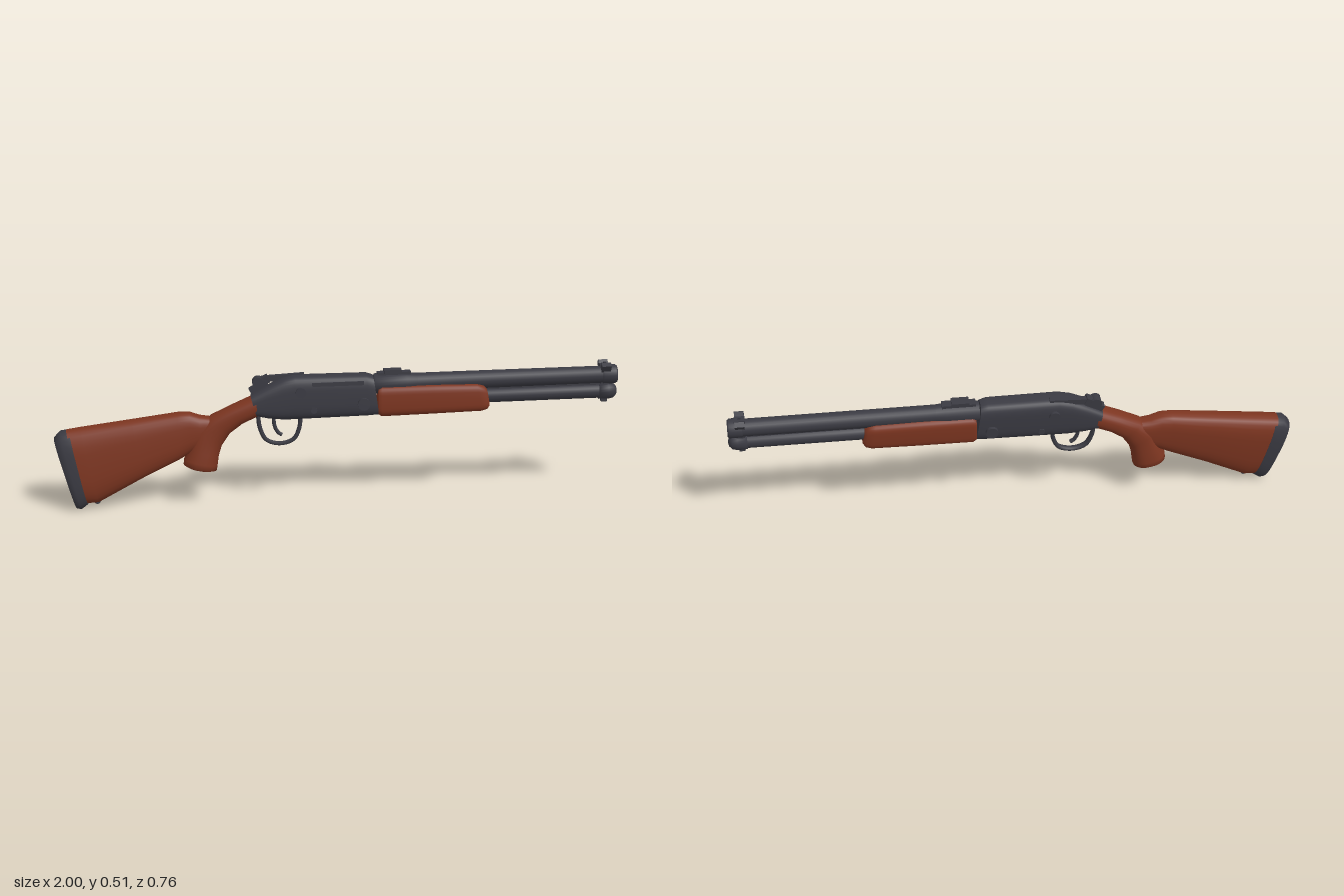
import * as THREE from 'three';

const S = 1.054; // stretches lengthwise positions before the whole piece is turned
const steel = new THREE.MeshStandardMaterial({ color: 0x3a3a42 });
steel.name = 'dark steel';
const wood = new THREE.MeshStandardMaterial({ color: 0x7c3520 });
wood.name = 'red brown wood';

function add(parent, name, geo, mat) {
  const m = new THREE.Mesh(geo, mat);
  m.name = name;
  parent.add(m);
  return m;
}

// Skin over cross-sections [topX, topY, bottomX, bottomY, halfWidth, bottomShift], with flat end caps
function loft(sections, e = 0.7, n = 28) {
  const pos = [], idx = [];
  const pw = v => Math.sign(v) * Math.pow(Math.abs(v), e);
  const ring = ([tx, ty, bx, by, w, shift = 0]) => {
    for (let j = 0; j < n; j++) {
      const a = (j / n) * Math.PI * 2, s = pw(Math.sin(a)), c = pw(Math.cos(a));
      pos.push(((tx + bx) / 2 + s * (tx - bx) / 2) * S, (ty + by) / 2 + s * (ty - by) / 2,
        c * w + shift * (1 - s) / 2);
    }
  };
  sections.forEach(ring);
  for (let i = 0; i < sections.length - 1; i++) {
    for (let j = 0; j < n; j++) {
      const a = i * n + j, b = i * n + (j + 1) % n;
      idx.push(a, a + n, b, b, a + n, b + n);
    }
  }
  [sections[0], sections[sections.length - 1]].forEach((s, end) => {
    const base = pos.length / 3;
    ring(s);
    pos.push((s[0] + s[2]) / 2 * S, (s[1] + s[3]) / 2, (s[5] || 0) / 2);
    for (let j = 0; j < n; j++) {
      const a = base + j, b = base + (j + 1) % n;
      idx.push(base + n, end ? b : a, end ? a : b);
    }
  });
  const g = new THREE.BufferGeometry();
  g.setAttribute('position', new THREE.Float32BufferAttribute(pos, 3));
  g.setIndex(idx);
  g.computeVertexNormals();
  return g;
}

const PITCH = 0.018; // slight rise of the barrels

// Lathe lying lengthwise; profile points are [radius, distance from x0]
function turned(parent, name, profile, x0, y0) {
  const g = new THREE.LatheGeometry(profile.map(p => new THREE.Vector2(p[0], p[1])), 24);
  g.rotateZ(-Math.PI / 2);
  const m = add(parent, name, g, steel);
  m.position.set(x0 * S, y0, 0);
  m.rotation.z = PITCH;
  return m;
}

function box(parent, name, x, y, z, lx, ly, lz, tilt = PITCH) {
  const m = add(parent, name, new THREE.BoxGeometry(lx, ly, lz), steel);
  m.position.set(x * S, y, z);
  m.rotation.z = tilt;
  return m;
}

function crossPin(parent, name, x, y, z, r, len) {
  const g = new THREE.CylinderGeometry(r, r, len, 16);
  g.rotateX(Math.PI / 2);
  const m = add(parent, name, g, steel);
  m.position.set(x * S, y, z);
  return m;
}

function tube(parent, name, pts, r, widen) {
  const curve = new THREE.CatmullRomCurve3(pts.map(p => new THREE.Vector3(p[0] * S, p[1], 0)));
  const g = new THREE.TubeGeometry(curve, 32, r, 8);
  g.scale(1, 1, widen);
  return add(parent, name, g, steel);
}

export function createModel() {
  const model = new THREE.Group();
  model.name = 'longGun';
  // Turned to the side and leaning slightly backwards
  const turn = new THREE.Group();
  turn.name = 'turnedBody';
  turn.rotation.y = 0.317;
  model.add(turn);
  const gun = new THREE.Group();
  gun.name = 'gunBody';
  gun.rotation.x = -0.075;
  gun.position.z = 0.021;
  turn.add(gun);

  // Shoulder stock, widening towards the butt
  add(gun, 'shoulderStock', loft([
    [-0.95, 0.299, -0.89, 0.022, 0.054, 0.014],
    [-0.90, 0.307, -0.845, 0.025, 0.055, 0.014],
    [-0.72, 0.332, -0.69, 0.112, 0.052, 0.01],
    [-0.56, 0.355, -0.56, 0.178, 0.047, 0.005],
    [-0.52, 0.355, -0.515, 0.205, 0.044],
    [-0.485, 0.342, -0.48, 0.22, 0.04],
    [-0.44, 0.335, -0.43, 0.25, 0.035],
  ]), wood);
  add(gun, 'buttPad', loft([
    [-0.986, 0.25, -0.925, 0.012, 0.042, 0.014],
    [-0.994, 0.272, -0.922, 0.002, 0.051, 0.014],
    [-0.972, 0.295, -0.905, 0.0, 0.055, 0.014],
    [-0.94, 0.3, -0.883, 0.018, 0.055, 0.014],
  ]), steel);
  crossPin(gun, 'slingStud', -0.85, 0.03, 0.012, 0.012, 0.026);

  // Pistol grip sweeping up into the receiver
  add(gun, 'pistolGrip', loft([
    [-0.53, 0.148, -0.445, 0.13, 0.045],
    [-0.545, 0.158, -0.428, 0.133, 0.055],
    [-0.542, 0.18, -0.425, 0.152, 0.056],
    [-0.522, 0.22, -0.42, 0.188, 0.051],
    [-0.50, 0.295, -0.408, 0.228, 0.046],
    [-0.445, 0.342, -0.38, 0.272, 0.044],
    [-0.375, 0.377, -0.335, 0.308, 0.046],
    [-0.29, 0.417, -0.28, 0.335, 0.047],
  ], 0.85), wood);

  // Receiver
  add(gun, 'receiver', loft([
    [-0.305, 0.415, -0.285, 0.338, 0.046],
    [-0.25, 0.447, -0.24, 0.327, 0.047],
    [-0.195, 0.474, -0.19, 0.322, 0.048],
    [-0.15, 0.486, -0.15, 0.322, 0.048],
    [0.10, 0.488, 0.11, 0.33, 0.048],
    [0.125, 0.48, 0.145, 0.333, 0.046],
  ], 0.58, 36), steel);
  box(gun, 'boltCover', 0.0, 0.448, 0.022, 0.19, 0.036, 0.048);
  box(gun, 'topLever', -0.19, 0.474, -0.022, 0.16, 0.022, 0.02, 0.06);
  for (const side of [-1, 1]) {
    crossPin(gun, 'rearPin', -0.13, 0.43, side * 0.045, 0.02, 0.026);
    crossPin(gun, 'frontPin', 0.09, 0.382, side * 0.046, 0.023, 0.028);
    crossPin(gun, 'lowerPin', -0.085, 0.362, side * 0.045, 0.012, 0.014);
  }

  // Rear sight on the tang
  box(gun, 'rearSightBase', -0.275, 0.44, -0.012, 0.07, 0.03, 0.03, 0.5);
  crossPin(gun, 'rearSightKnob', -0.278, 0.459, -0.016, 0.021, 0.04);
  box(gun, 'rearSightLeaf', -0.252, 0.468, -0.018, 0.025, 0.028, 0.034, 0.4);

  // Trigger and guard
  tube(gun, 'triggerGuard', [[-0.28, 0.345], [-0.274, 0.29], [-0.252, 0.243], [-0.205, 0.227],
    [-0.155, 0.243], [-0.135, 0.285], [-0.13, 0.335]], 0.008, 1.6);
  tube(gun, 'trigger', [[-0.225, 0.335], [-0.222, 0.295], [-0.21, 0.27], [-0.197, 0.26]], 0.007, 1.2);

  // Wooden fore-end
  add(gun, 'foreEnd', loft([
    [0.142, 0.435, 0.142, 0.335, 0.046],
    [0.155, 0.444, 0.155, 0.327, 0.051],
    [0.34, 0.447, 0.34, 0.333, 0.052],
    [0.49, 0.446, 0.51, 0.339, 0.051],
    [0.515, 0.438, 0.53, 0.346, 0.047],
    [0.527, 0.422, 0.538, 0.358, 0.036],
  ], 0.5, 32), wood);

  // Barrel with an open bore, the magazine tube under it and the rib between them
  turned(gun, 'barrel', [[0, 0], [0.038, 0], [0.038, 0.12], [0.034, 0.16], [0.032, 0.895], [0.032, 0.91],
    [0.022, 0.91], [0.022, 0.82], [0, 0.82]], 0.13, 0.447);
  turned(gun, 'magazineTube', [[0, 0], [0.027, 0], [0.027, 0.46], [0, 0.46]], 0.50, 0.392);
  turned(gun, 'magazineCap', [[0, 0], [0.031, 0], [0.032, 0.035], [0.028, 0.055], [0.016, 0.066], [0, 0.07]], 0.93, 0.4);
  turned(gun, 'muzzleRing', [[0.03, 0], [0.036, 0.004], [0.036, 0.05], [0.03, 0.054]], 0.94, 0.463);
  box(gun, 'barrelRib', 0.71, 0.426, 0, 0.5, 0.024, 0.02);
  box(gun, 'barrelBand', 0.95, 0.432, 0, 0.03, 0.07, 0.034);
  box(gun, 'bandScrew', 0.95, 0.368, 0, 0.022, 0.016, 0.02);

  // Barrel saddle sight
  box(gun, 'saddleBase', 0.20, 0.483, 0, 0.125, 0.018, 0.034);
  box(gun, 'saddleLeaf', 0.195, 0.494, 0, 0.065, 0.014, 0.04);

  // Winged front sight
  box(gun, 'frontSightBase', 0.95, 0.496, 0, 0.04, 0.014, 0.03);
  for (const side of [-1, 1]) {
    const wing = box(gun, 'frontSightWing', 0.95, 0.494, side * 0.029, 0.035, 0.032, 0.02);
    wing.rotation.x = side * 0.6;
  }
  box(gun, 'frontSightPost', 0.95, 0.503, 0, 0.012, 0.014, 0.007);

  return model;
}
